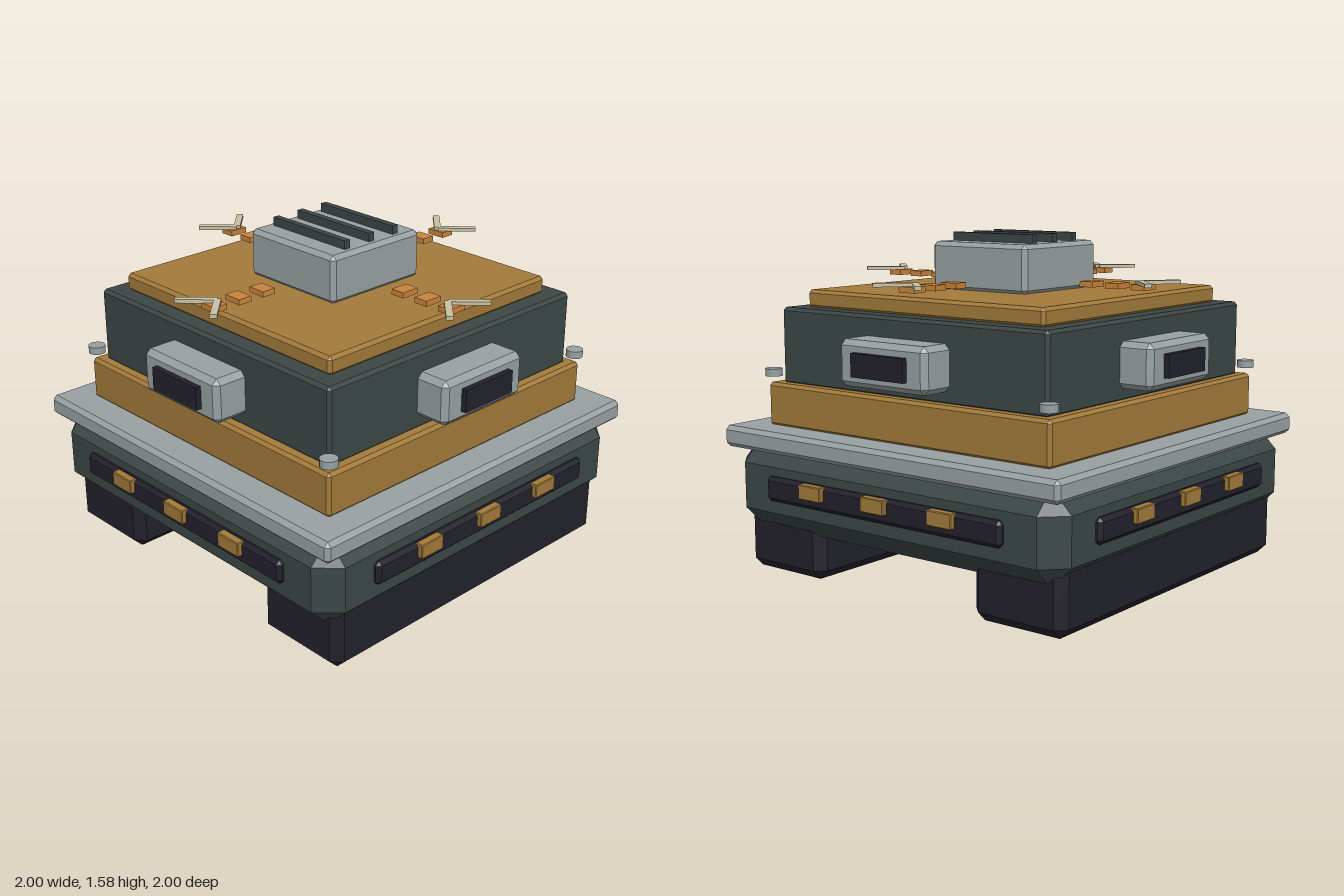
import * as THREE from 'three';
import { ConvexGeometry } from 'three/addons/geometries/ConvexGeometry.js';

const material = (name, color) => {
  const m = new THREE.MeshStandardMaterial({ color });
  m.name = name;
  return m;
};

// Box with every edge cut by a 45 degree chamfer
function chamferBox(w, h, d, c) {
  const points = [];
  for (const x of [-1, 1]) for (const y of [-1, 1]) for (const z of [-1, 1]) {
    const [a, b, e] = [w / 2, h / 2, d / 2];
    points.push(
      new THREE.Vector3(x * a, y * (b - c), z * (e - c)),
      new THREE.Vector3(x * (a - c), y * b, z * (e - c)),
      new THREE.Vector3(x * (a - c), y * (b - c), z * e));
  }
  return new ConvexGeometry(points);
}

export function createModel() {
  const model = new THREE.Group();
  model.name = 'trackedVehicle';
  const slate = material('slate', 0x3b4746);
  const navy = material('navy', 0x22212c);
  const ochre = material('ochre', 0xa37a3a);
  const grey = material('grey', 0x98a1a2);
  const orange = material('orange', 0xc9833c);
  const cream = material('cream', 0xc9c1a4);

  // Block given by its x, y and z ranges
  function block(parent, name, mat, [x0, x1], [y0, y1], [z0, z1], c = 0) {
    const size = [x1 - x0, y1 - y0, z1 - z0];
    const mesh = new THREE.Mesh(c ? chamferBox(...size, c) : new THREE.BoxGeometry(...size), mat);
    mesh.name = name;
    mesh.position.set((x0 + x1) / 2, (y0 + y1) / 2, (z0 + z1) / 2);
    parent.add(mesh);
    return mesh;
  }
  const tier = (name, mat, r, y, c) => block(model, name, mat, [-r, r], y, [-r, r], c);

  // Stacked square body
  tier('hull', slate, 0.95, [0.21, 0.625], 0.1);
  tier('deck', grey, 0.97, [0.59, 0.69], 0.02);
  tier('lowerCabin', ochre, 0.82, [0.685, 0.89], 0.015);
  tier('upperCabin', slate, 0.77, [0.88, 1.24], 0.015);
  tier('roof', ochre, 0.685, [1.235, 1.32], 0.015);
  tier('roofUnit', grey, 0.275, [1.315, 1.54], 0.02);
  for (const z of [-0.15, 0, 0.15])
    block(model, 'roofVent', slate, [-0.235, 0.235], [1.53, 1.58], [z - 0.016, z + 0.016]);

  // Treads under both sides
  block(model, 'leftTread', navy, [0.445, 0.925], [0, 0.36], [-0.875, 0.875], 0.045);
  block(model, 'rightTread', navy, [-0.925, -0.445], [0, 0.36], [-0.875, 0.875], 0.045);

  // Fittings repeated on all four sides
  ['front', 'left', 'back', 'right'].forEach((label, i) => {
    const side = new THREE.Group();
    side.name = label + 'Fittings';
    side.rotation.y = i * Math.PI / 2;
    model.add(side);

    block(side, 'pod', grey, [-0.252, 0.252], [0.94, 1.147], [0.7, 0.928], 0.025);
    block(side, 'podWindow', navy, [-0.15, 0.15], [0.99, 1.095], [0.9, 0.955]);
    block(side, 'hullStrip', navy, [-0.685, 0.685], [0.37, 0.485], [0.92, 0.977], 0.018);
    for (const x of [-0.38, 0, 0.38])
      block(side, 'hullLight', ochre, [x - 0.068, x + 0.068], [0.416, 0.484], [0.96, 1], 0.004);

    // Hovering roof markers and the chevron above the outermost one
    for (const z of [0.445, 0.583, 0.72])
      block(side, 'roofMarker', orange, [-0.046, 0.046], [1.347, 1.373], [z - 0.035, z + 0.035]);
    for (const s of [-1, 1]) {
      const arm = block(side, 'chevronArm', cream, [-0.092, 0.092], [1.371, 1.388], [-0.016, 0.016]);
      arm.position.x = s * 0.066;
      arm.position.z = 0.765;
      arm.rotation.y = -s * Math.PI / 4;
    }

    // Corner bolt
    const bolt = new THREE.Mesh(new THREE.CylinderGeometry(0.04, 0.04, 0.035, 16), grey);
    bolt.name = 'cornerBolt';
    bolt.position.set(0.8, 0.937, 0.8);
    side.add(bolt);
  });

  return model;
}
